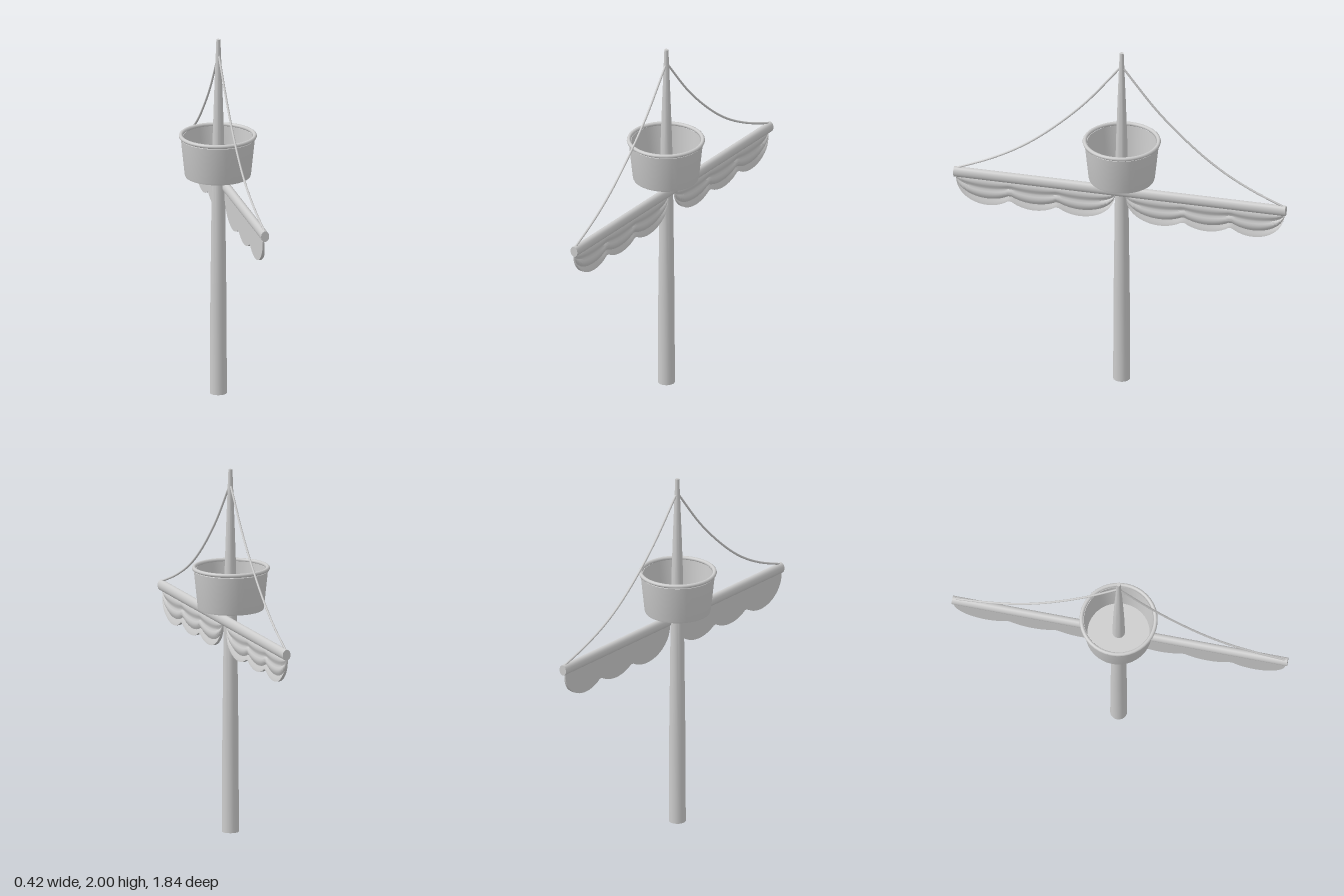
import * as THREE from 'three';
import { toCreasedNormals } from 'three/addons/utils/BufferGeometryUtils.js';

const material = new THREE.MeshStandardMaterial({ color: 0xcccccc, side: THREE.DoubleSide });
const V2 = (x, y) => new THREE.Vector2(x, y);

function part(name, geometry) {
  const mesh = new THREE.Mesh(geometry, material);
  mesh.name = name;
  return mesh;
}

const lathe = (profile, sides) =>
  toCreasedNormals(new THREE.LatheGeometry(profile.map(([r, y]) => V2(r, y)), sides), 0.6);

// Lower edge of the furled sail: three overlapping elliptical lobes [centre, half width]
const lobes = [[0.22, 0.19], [0.478, 0.19], [0.735, 0.175]];
const sailTop = 1.15;
const hem = (z) => Math.min(...lobes.map(([c, a]) =>
  1.14 - 0.15 * Math.sqrt(Math.max(0, 1 - ((z - c) / a) ** 2))));

// Closed strip along z; the outer face carries soft horizontal folds, the inner face is plain
function sailGeometry(side) {
  const columns = 72, rows = 14, ring = 2 * (rows + 1);
  const positions = [], index = [];
  for (let i = 0; i <= columns; i++) {
    const t = i / columns;
    const z = side * 0.47 - 0.44 * Math.cos(Math.PI * t);
    const drop = sailTop - hem(Math.abs(z));
    for (let k = 0; k < ring; k++) {
      const outer = k <= rows;
      const v = (outer ? k : ring - 1 - k) / rows;
      const fold = 0.012 * Math.abs(Math.sin(2.5 * Math.PI * v)) * Math.min(1, drop / 0.1);
      positions.push(outer ? 0.034 + fold : 0.029, sailTop - drop * v, z);
    }
  }
  for (let i = 0; i < columns; i++) {
    for (let k = 0; k < ring; k++) {
      const a = i * ring + k, b = i * ring + (k + 1) % ring;
      index.push(a, a + ring, b, b, a + ring, b + ring);
    }
  }
  const geometry = new THREE.BufferGeometry();
  geometry.setAttribute('position', new THREE.Float32BufferAttribute(positions, 3));
  geometry.setIndex(index);
  return toCreasedNormals(geometry, 0.7);
}

export function createModel() {
  const model = new THREE.Group();
  model.name = 'mastWithLookout';

  // Tapered mast
  const mast = part('mast', lathe([
    [0, 0], [0.046, 0], [0.044, 0.5], [0.037, 1.1], [0.031, 1.45], [0.022, 1.72], [0.011, 2], [0, 2],
  ], 20));
  mast.position.x = 0.003;
  model.add(mast);

  // Hollow lookout basket with a rolled rim
  model.add(part('lookoutBasket', lathe([
    [0, 1.23], [0.176, 1.23], [0.179, 1.24], [0.2, 1.44], [0.187, 1.45], [0.168, 1.25], [0, 1.25],
  ], 40)));
  const rim = part('basketRim', new THREE.TorusGeometry(0.2, 0.011, 10, 40));
  rim.rotation.x = Math.PI / 2;
  rim.position.y = 1.455;
  model.add(rim);

  // Oval yard running front to back
  const yard = part('yard', new THREE.CylinderGeometry(0.03, 0.03, 1.84, 20));
  yard.rotation.x = Math.PI / 2;
  yard.scale.x = 0.75;
  yard.position.set(0.04, 1.17, 0);
  model.add(yard);

  for (const side of [1, -1]) {
    const end = side > 0 ? 'front' : 'back';

    // Furled sail
    model.add(part(end + 'Sail', sailGeometry(side)));

    // Sagging lift rope from the masthead to the yard end
    const path = new THREE.CatmullRomCurve3([
      [0.004, 1.92, 0], [0.008, 1.66, 0.21], [0.012, 1.46, 0.42],
      [0.018, 1.35, 0.57], [0.028, 1.265, 0.73], [0.04, 1.195, 0.905],
    ].map(([x, y, z]) => new THREE.Vector3(x, y, side * z)));
    model.add(part(end + 'Rope', new THREE.TubeGeometry(path, 30, 0.006, 8)));
  }
  return model;
}
